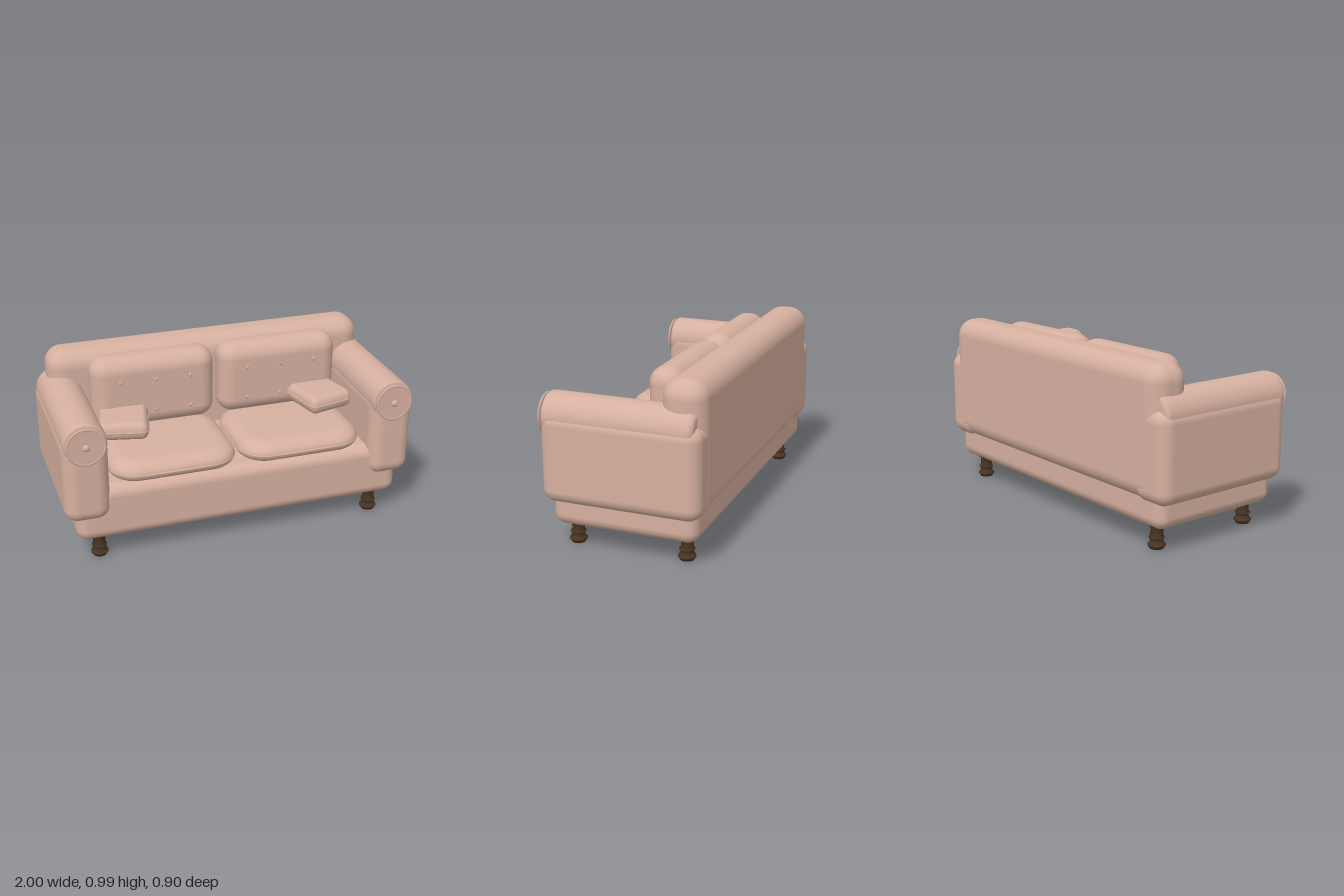
import * as THREE from 'three';
import { RoundedBoxGeometry } from 'three/addons/geometries/RoundedBoxGeometry.js';

// Points of a rounded rectangle in the xz plane
function roundedRing(hw, hd, r, y) {
  const pts = [];
  const corners = [[1, 1], [-1, 1], [-1, -1], [1, -1]];
  corners.forEach(([sx, sz], c) => {
    for (let i = 0; i <= 8; i++) {
      const a = (c + i / 8) * Math.PI / 2;
      pts.push(new THREE.Vector3(sx * (hw - r) + r * Math.cos(a), y, sz * (hd - r) + r * Math.sin(a)));
    }
  });
  return pts;
}

// Stuffed cushion: rounded rectangles stacked from the bottom over the seam to the top
function cushionGeometry(hw, hd, r, soft, below, above) {
  const pos = [], index = [], steps = 14;
  let n = 0;
  for (let i = 0; i <= steps; i++) {
    const a = (i / steps - 0.5) * Math.PI;
    const inset = soft * (1 - Math.cos(a));
    const y = Math.sin(a) * (a < 0 ? below : above) * 0.95;
    const ring = roundedRing(hw - inset, hd - inset, Math.max(r - inset, 0.015), y);
    n = ring.length;
    ring.forEach(p => pos.push(p.x, p.y, p.z));
  }
  for (let i = 0; i < steps; i++) {
    for (let j = 0; j < n; j++) {
      const a = i * n + j, b = i * n + (j + 1) % n;
      index.push(a, a + n, b, b, a + n, b + n);
    }
  }
  const low = pos.length / 3, high = low + 1;
  pos.push(0, -below, 0, 0, above, 0);
  for (let j = 0; j < n; j++) {
    const k = (j + 1) % n;
    index.push(low, j, k, high, steps * n + k, steps * n + j);
  }
  const g = new THREE.BufferGeometry();
  g.setAttribute('position', new THREE.Float32BufferAttribute(pos, 3));
  g.setIndex(index);
  g.computeVertexNormals();
  return g;
}

const lathe = (pts, seg) => new THREE.LatheGeometry(pts.map(p => new THREE.Vector2(p[0], p[1])), seg);

export function createModel() {
  const sofa = new THREE.Group();
  sofa.name = 'sofa';
  const leather = new THREE.MeshStandardMaterial({ color: 0xd6b09f });
  leather.name = 'pinkLeather';
  const wood = new THREE.MeshStandardMaterial({ color: 0x4a3522 });
  wood.name = 'darkWood';

  const add = (parent, name, geo, x = 0, y = 0, z = 0, mat = leather) => {
    const m = new THREE.Mesh(geo, mat);
    m.name = name;
    m.position.set(x, y, z);
    parent.add(m);
    return m;
  };
  // Rounded block given by its limits
  const block = (name, x0, x1, y0, y1, z0, z1, r) =>
    add(sofa, name, new RoundedBoxGeometry(x1 - x0, y1 - y0, z1 - z0, 5, r),
      (x0 + x1) / 2, (y0 + y1) / 2, (z0 + z1) / 2);
  // Cushion with piping along its seam and a button on top
  const cushion = (name, x, y, z, hw, hd, r, soft, below, above) => {
    const g = new THREE.Group();
    g.name = name;
    g.position.set(x, y, z);
    add(g, 'stuffing', cushionGeometry(hw, hd, r, soft, below, above));
    const path = new THREE.CatmullRomCurve3(roundedRing(hw - 0.003, hd - 0.003, r, 0), true);
    add(g, 'piping', new THREE.TubeGeometry(path, 96, 0.007, 6, true));
    add(g, 'button', new THREE.SphereGeometry(0.008, 10, 6), 0, above, 0).scale.y = 0.4;
    sofa.add(g);
    return g;
  };

  // Body
  block('base', -0.94, 0.94, 0.13, 0.45, -0.41, 0.4, 0.065);
  block('backrest', -0.94, 0.94, 0.27, 0.988, -0.447, -0.205, 0.1);

  // Shared shapes
  const rollGeo = lathe([[0, -0.41], [0.09, -0.41], [0.11, -0.402], [0.12, -0.38],
    [0.12, 0.39], [0.117, 0.408], [0.108, 0.42], [0, 0.42]], 36).rotateX(Math.PI / 2);
  const rosetteGeo = lathe([[0, 0.425], [0.1, 0.425], [0.108, 0.43], [0.108, 0.436],
    [0.102, 0.439], [0.097, 0.437], [0.094, 0.4355], [0, 0.4355]], 36).rotateX(Math.PI / 2);
  const knobGeo = new THREE.SphereGeometry(0.02, 16, 10).scale(1, 1, 0.65);
  const creaseGeo = new THREE.CapsuleGeometry(0.003, 0.016, 3, 6);
  const tuftGeo = new THREE.SphereGeometry(0.011, 12, 8).scale(1, 1, 0.5);
  const legGeo = lathe([[0, 0], [0.038, 0], [0.041, 0.008], [0.048, 0.016], [0.048, 0.022],
    [0.041, 0.03], [0.036, 0.036], [0.034, 0.052], [0.042, 0.056], [0.042, 0.061], [0.034, 0.066],
    [0.033, 0.12], [0.046, 0.125], [0.048, 0.131], [0, 0.135]], 24);

  for (const s of [1, -1]) {
    const side = s > 0 ? 'left' : 'right';

    // Arm: padded panel, rolled top and front rosette
    const panel = block(side + 'ArmPanel', 0.75, 1, 0.27, 0.77, -0.445, 0.435, 0.075);
    panel.position.x *= s;
    add(sofa, side + 'ArmRoll', rollGeo, s * 0.873, 0.73, 0);
    add(sofa, side + 'ArmRosette', rosetteGeo, s * 0.873, 0.73, 0);
    add(sofa, side + 'ArmKnob', knobGeo, s * 0.873, 0.727, 0.437);

    // Cushions
    cushion(side + 'SeatCushion', s * 0.37, 0.49, 0.1, 0.36, 0.3, 0.16, 0.1, 0.06, 0.07);
    block(side + 'BackCushion', 0.015, 0.73, 0.55, 0.975, -0.245, -0.048, 0.09).position.x *= s;
    const pillow = cushion(side + 'ThrowPillow', s * 0.58, 0.645, 0.01, 0.14, 0.17, 0.04, 0.035, 0.052, 0.055);
    pillow.rotation.y = s * 0.23;

    // Tufts with four short creases each
    for (const x of [0.17, 0.372, 0.575]) {
      for (const y of [0.655, 0.84]) {
        const tuft = new THREE.Group();
        tuft.name = side + 'Tuft';
        tuft.position.set(s * x, y, -0.048);
        add(tuft, 'button', tuftGeo);
        for (let i = 0; i < 4; i++) {
          const a = Math.PI / 4 + i * Math.PI / 2;
          add(tuft, 'crease', creaseGeo, 0.018 * Math.cos(a), 0.018 * Math.sin(a), -0.001)
            .rotation.z = a - Math.PI / 2;
        }
        sofa.add(tuft);
      }
    }

    // Turned legs
    add(sofa, side + 'FrontLeg', legGeo, s * 0.81, 0, 0.31, wood);
    add(sofa, side + 'BackLeg', legGeo, s * 0.81, 0, -0.315, wood);
  }
  return sofa;
}
